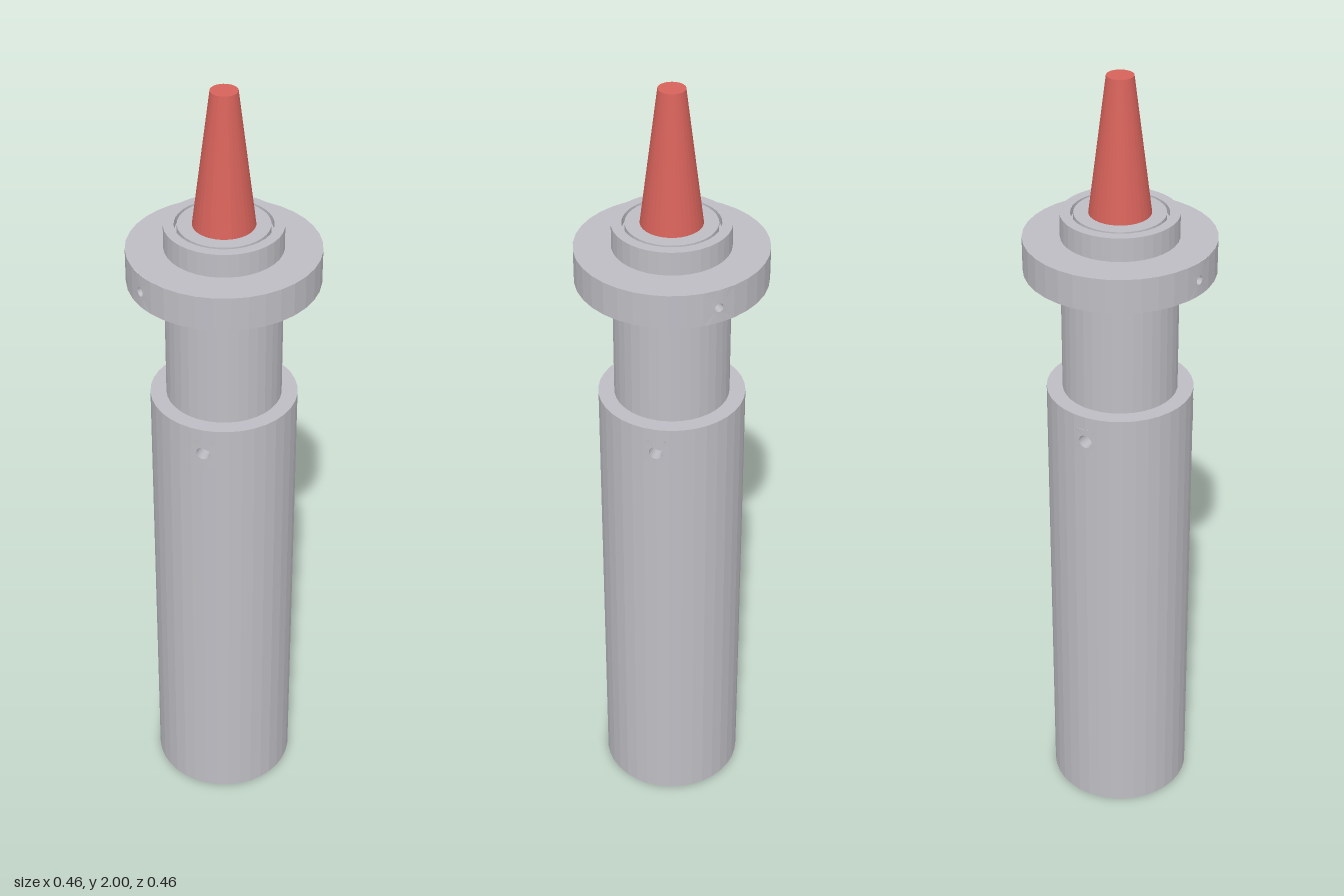
import * as THREE from 'three';
import { mergeGeometries } from 'three/addons/utils/BufferGeometryUtils.js';

const SIDES = 36;
const STEP = (Math.PI * 2) / SIDES;

const steel = new THREE.MeshStandardMaterial({ color: 0xbebdc3 });
steel.name = 'steel grey';
const red = new THREE.MeshStandardMaterial({ color: 0xd6625a });
red.name = 'tip red';

// Flat facets: every triangle keeps its own normal
function faceted(geometry) {
  const flat = geometry.index ? geometry.toNonIndexed() : geometry;
  flat.deleteAttribute('uv');
  flat.computeVertexNormals();
  return flat;
}

function turned(points) {
  return faceted(new THREE.LatheGeometry(points.map(([r, y]) => new THREE.Vector2(r, y)), SIDES));
}

// Curved wall patch, two facets wide, with a blind round bore in its middle
function boredPatch(radius, y0, y1, azimuth, holeY, holeR, depth) {
  const n = 24;
  const half = STEP * radius;
  const at = (u, y, inset) => {
    const a = azimuth + u / radius;
    return [(radius - inset) * Math.sin(a), y, (radius - inset) * Math.cos(a)];
  };
  const rings = [[], [], [], []]; // bore centre, floor edge, lip, patch border
  for (let i = 0; i < n; i++) {
    const t = (i / n) * Math.PI * 2 + Math.PI / 4;
    const c = Math.cos(t), s = Math.sin(t), k = Math.max(Math.abs(c), Math.abs(s));
    rings[0].push(at(0, holeY, depth));
    rings[1].push(at(c * holeR, holeY + s * holeR, depth));
    rings[2].push(at(c * holeR, holeY + s * holeR, 0));
    const v = s / k;
    rings[3].push(at((c / k) * half, holeY + v * (v > 0 ? y1 - holeY : holeY - y0), 0));
  }
  const pos = [];
  for (let j = 0; j < 3; j++) {
    for (let i = 0; i < n; i++) {
      const m = (i + 1) % n;
      const [a, b, c, d] = [rings[j][i], rings[j + 1][i], rings[j + 1][m], rings[j][m]];
      if (j > 0) pos.push(...a, ...c, ...d);
      pos.push(...a, ...b, ...c);
    }
  }
  const g = new THREE.BufferGeometry();
  g.setAttribute('position', new THREE.Float32BufferAttribute(pos, 3));
  return faceted(g);
}

// Cylindrical wall with bores at the given facet positions (in order)
function boredWall(radius, y0, y1, slots, holeY, holeR, depth) {
  const parts = [];
  slots.forEach((slot, i) => {
    parts.push(boredPatch(radius, y0, y1, slot * STEP, holeY, holeR, depth));
    const next = i + 1 < slots.length ? slots[i + 1] : slots[0] + SIDES;
    const count = next - slot - 2;
    const wall = new THREE.CylinderGeometry(
      radius, radius, y1 - y0, count, 1, true, (slot + 1) * STEP, count * STEP);
    wall.translate(0, (y0 + y1) / 2, 0);
    parts.push(faceted(wall));
  });
  return mergeGeometries(parts);
}

export function createModel() {
  const model = new THREE.Group();
  const add = (name, geometry, material) => {
    const mesh = new THREE.Mesh(geometry, material);
    mesh.name = name;
    model.add(mesh);
  };

  // Main barrel with three screw holes near its top
  add('barrel', mergeGeometries([
    turned([[0, 0], [0.18, 0], [0.18, 1.1]]),
    boredWall(0.18, 1.1, 1.17, [6, 18, 30], 1.137, 0.017, 0.035),
    turned([[0.18, 1.17], [0.18, 1.205], [0.13, 1.205]]),
  ]), steel);

  // Neck with a fine ring groove in its end face
  add('neck', turned([
    [0.141, 1.2], [0.141, 1.667], [0.116, 1.667], [0.116, 1.647],
    [0.109, 1.647], [0.109, 1.667], [0, 1.667],
  ]), steel);

  // Collar with a small hole on each side
  add('collar', mergeGeometries([
    turned([[0.135, 1.523], [0.23, 1.523]]),
    boredWall(0.23, 1.523, 1.608, [10, 26], 1.562, 0.011, 0.025),
    turned([[0.23, 1.608], [0.135, 1.608]]),
  ]), steel);

  // Tapered tip
  add('tip', turned([[0.075, 1.66], [0.032, 2], [0, 2]]), red);

  return model;
}
